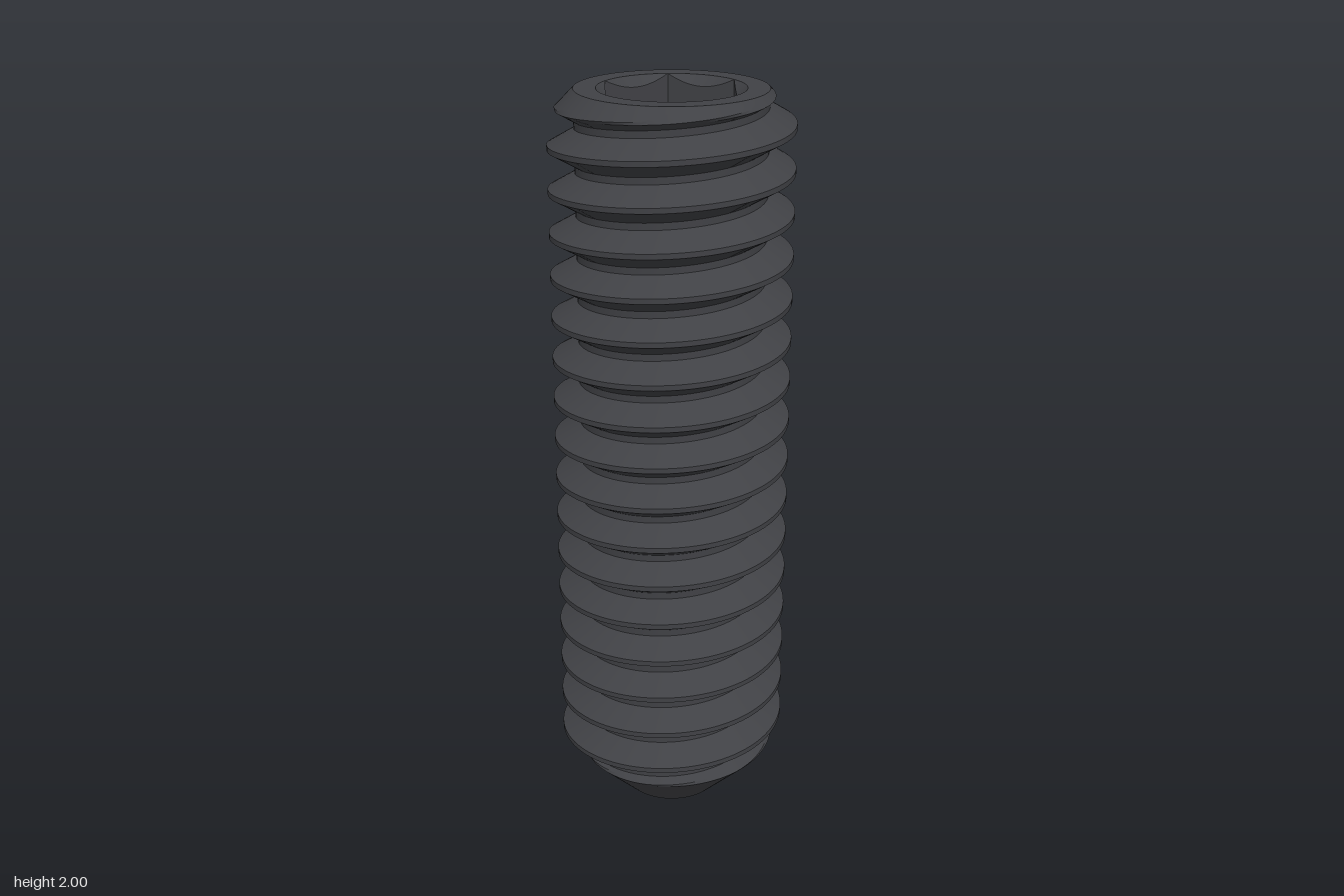
import * as THREE from 'three';
import { toCreasedNormals } from 'three/addons/utils/BufferGeometryUtils.js';

const LENGTH = 2, MAJOR = 0.3125, MINOR = 0.2441, PITCH = 1 / 9;
const CREST = PITCH / 8, FLANK = (MAJOR - MINOR) * Math.tan(Math.PI / 6);
const CREST_Y = 1.92; // height of a thread crest on the +x side
const TIP = 0.135, SOCKET = 0.188, SOCKET_FLOOR = 1.69, CUP_DEPTH = 0.08;
const SEGMENTS = 96;

const material = new THREE.MeshStandardMaterial({ color: 0x404145 });

// Surface swept around the y axis; point(row, angle) returns [radius, height]
function sweep(name, rows, point) {
  const at = (i, j) => {
    const a = (j / SEGMENTS) * Math.PI * 2;
    const [r, y] = point(i, a);
    const b = j === SEGMENTS ? 0 : a;
    return new THREE.Vector3(r * Math.cos(b), y, -r * Math.sin(b));
  };
  const positions = [];
  const e1 = new THREE.Vector3(), e2 = new THREE.Vector3();
  const triangle = (a, b, c) => {
    e1.subVectors(b, a);
    e2.subVectors(c, a);
    if (e1.cross(e2).length() < 1e-9) return; // skip collapsed faces
    for (const p of [a, b, c]) positions.push(p.x, p.y, p.z);
  };
  for (let i = 0; i < rows - 1; i++) {
    for (let j = 0; j < SEGMENTS; j++) {
      const a = at(i, j), b = at(i, j + 1), c = at(i + 1, j + 1), d = at(i + 1, j);
      triangle(a, b, c);
      triangle(a, c, d);
    }
  }
  const geometry = new THREE.BufferGeometry();
  geometry.setAttribute('position', new THREE.Float32BufferAttribute(positions, 3));
  const mesh = new THREE.Mesh(toCreasedNormals(geometry, 0.4), material);
  mesh.name = name;
  return mesh;
}

// Thread radius at an axial distance from a crest centre
function threadRadius(d) {
  const t = Math.abs(d - PITCH * Math.round(d / PITCH));
  return MAJOR - (MAJOR - MINOR) * THREE.MathUtils.clamp((t - CREST / 2) / FLANK, 0, 1);
}

// Axial offsets of the helical rows: crest, flank, root, flank for every turn
function threadRows() {
  const sections = [[CREST, 2], [FLANK, 6], [PITCH - CREST - 2 * FLANK, 2], [FLANK, 6]];
  const rows = [];
  for (let turn = -19; turn < 1; turn++) {
    let s = turn * PITCH - CREST / 2;
    for (const [size, steps] of sections) {
      for (let k = 0; k < steps; k++) rows.push(s + (size * k) / steps);
      s += size;
    }
  }
  rows.push(PITCH - CREST / 2);
  return rows;
}

// Distance from the axis to the hexagon wall, corners on the x axis
function hexRadius(angle) {
  const sector = Math.PI / 3;
  const a = angle - sector * Math.floor(angle / sector + 1e-6) - sector / 2;
  return (SOCKET * Math.cos(sector / 2)) / Math.cos(a);
}

export function createModel() {
  const group = new THREE.Group();
  group.name = 'setScrew';

  // Right-handed thread, cut by the top chamfer and the conical point
  const rows = threadRows();
  group.add(sweep('threadedBody', rows.length, (i, angle) => {
    const y = THREE.MathUtils.clamp(CREST_Y + rows[i] + (PITCH * angle) / (2 * Math.PI), 0, LENGTH);
    const r = threadRadius(rows[i]);
    return [Math.min(r, MINOR + LENGTH - y, TIP + y), y];
  }));

  // Flat ring around the socket
  group.add(sweep('topFace', 2, (i) => [i ? SOCKET : MINOR, LENGTH]));

  // Countersink, hexagonal walls and floor
  group.add(sweep('hexSocket', 4, (i, angle) => {
    const h = hexRadius(angle);
    return [[SOCKET, LENGTH], [h, LENGTH - (SOCKET - h)], [h, SOCKET_FLOOR], [0, SOCKET_FLOOR]][i];
  }));

  // Hollow cone in the point
  group.add(sweep('cupPoint', 2, (i) => (i ? [TIP, 0] : [0, CUP_DEPTH])));

  return group;
}
